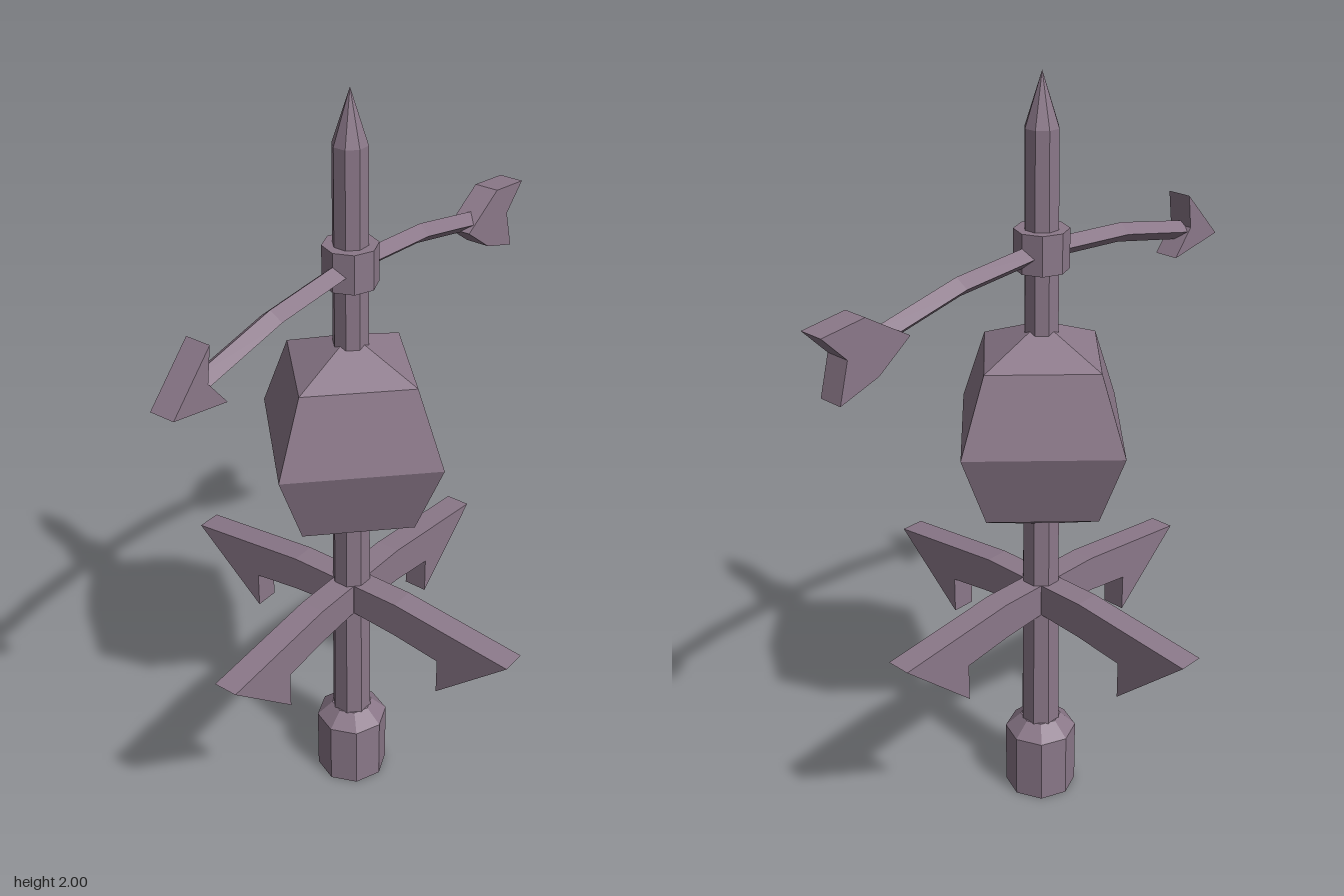
import * as THREE from 'three';

const mauve = new THREE.MeshStandardMaterial({ color: 0x8b7889, flatShading: true });
mauve.name = 'mauveMetal';

const AXIS = -0.03; // x of the mast

function add(parent, name, geometry) {
  const mesh = new THREE.Mesh(geometry, mauve);
  mesh.name = name;
  parent.add(mesh);
  return mesh;
}

// Flat plate cut from an outline, centred on z = 0
function plate(points, depth) {
  const shape = new THREE.Shape(points.map(([x, y]) => new THREE.Vector2(x, y)));
  return new THREE.ExtrudeGeometry(shape, { depth, bevelEnabled: false }).translate(0, 0, -depth / 2);
}

// Eight-sided turned part
function turned(profile, phase = 0) {
  return new THREE.LatheGeometry(profile.map(([r, y]) => new THREE.Vector2(r, y)), 8, phase);
}

export function createModel() {
  const model = new THREE.Group();
  model.name = 'weatherVane';

  // Mast group: everything turned around the central axis
  const mast = new THREE.Group();
  mast.name = 'mast';
  mast.position.x = AXIS;
  model.add(mast);

  add(mast, 'baseSocket', turned([[0, 0], [0.097, 0], [0.097, 0.185], [0.055, 0.225], [0, 0.225]]));
  add(mast, 'spire', turned([[0.054, 0.2], [0.049, 0.9], [0.045, 1.3], [0.043, 1.87], [0, 2]], Math.PI / 8));
  add(mast, 'collar', turned([[0, 1.53], [0.068, 1.53], [0.068, 1.63], [0, 1.63]]));

  // Four-sided faceted ball
  add(mast, 'facetedBall', new THREE.SphereGeometry(0.283, 4, 4)).position.y = 1.112;

  // Four hooked compass arms
  const arm = plate([
    [0, 0.58], [0.165, 0.567], [0.302, 0.548], [0.302, 0.445],
    [0.51, 0.63], [0.165, 0.667], [0, 0.667],
  ], 0.066);
  for (let i = 0; i < 4; i++) {
    add(mast, 'compassArm' + (i + 1), arm).rotation.y = i * Math.PI / 2;
  }

  // Wind arrow: bowed diamond rod with a head and a tail fin
  const arrow = new THREE.Group();
  arrow.name = 'windArrow';
  model.add(arrow);

  const squash = 0.82;
  const bow = new THREE.CatmullRomCurve3(
    [[-0.59, 1.497], [-0.3, 1.556], [AXIS, 1.575], [0.24, 1.556], [0.52, 1.497]]
      .map(([x, y]) => new THREE.Vector3(x, y / squash, 0)));
  add(arrow, 'arrowRod', new THREE.TubeGeometry(bow, 4, 0.03, 4).scale(1, squash, 1));

  add(arrow, 'arrowHead', plate([
    [-0.675, 1.476], [-0.508, 1.445], [-0.565, 1.515], [-0.553, 1.603],
  ], 0.066));
  add(arrow, 'tailFin', plate([
    [0.425, 1.497], [0.52, 1.428], [0.632, 1.392],
    [0.605, 1.492], [0.672, 1.56], [0.55, 1.574],
  ], 0.066));

  return model;
}
